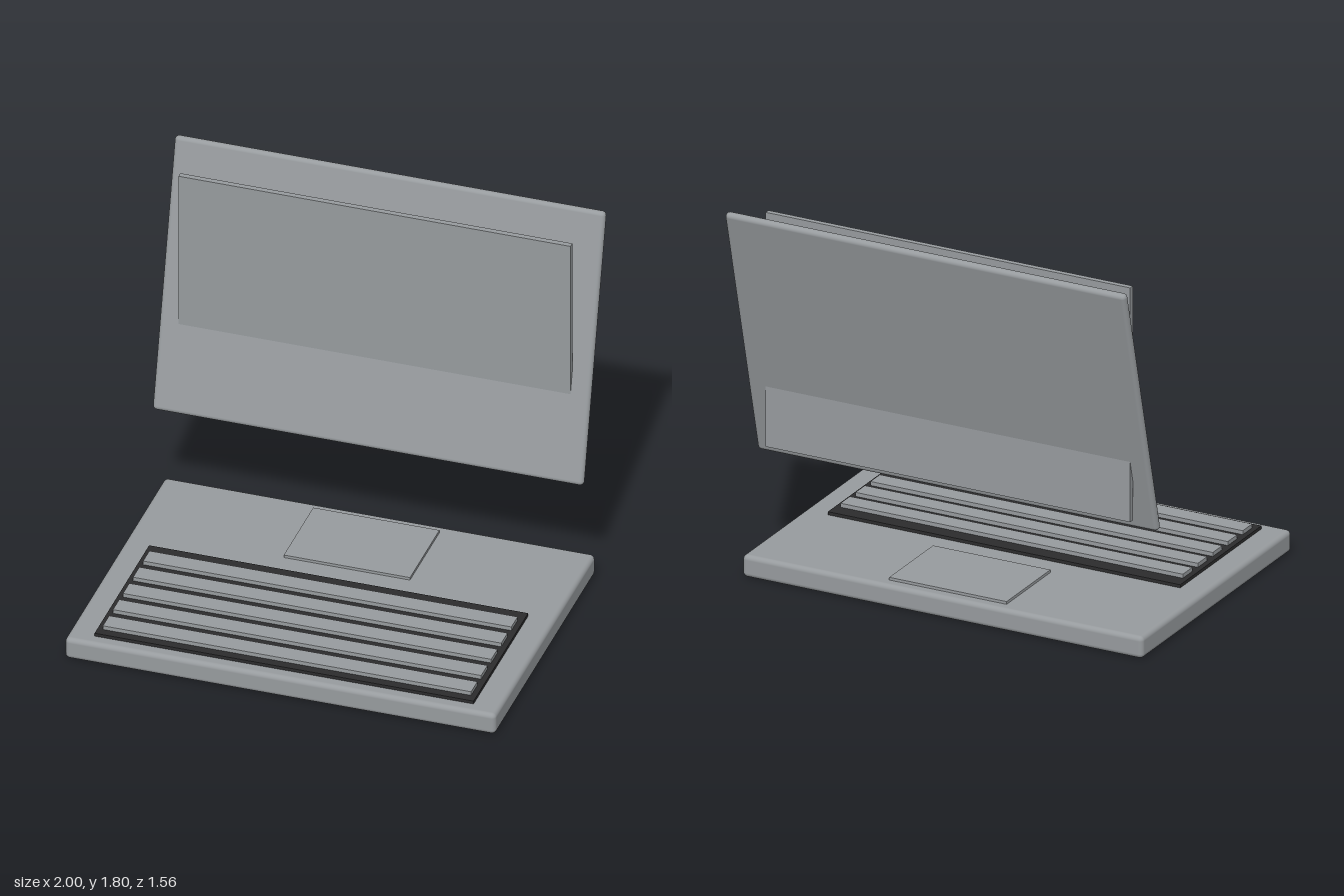
import * as THREE from 'three';
import { RoundedBoxGeometry } from 'three/addons/geometries/RoundedBoxGeometry.js';

export function createModel() {
  const group = new THREE.Group();
  group.name = 'laptop';

  const grey = new THREE.MeshStandardMaterial({ color: 0x979b9e });
  grey.name = 'metal grey';
  const black = new THREE.MeshStandardMaterial({ color: 0x2c2c2d });
  black.name = 'keyboard black';

  const add = (name, geometry, material, x, y, z) => {
    const mesh = new THREE.Mesh(geometry, material);
    mesh.name = name;
    mesh.position.set(x, y, z);
    group.add(mesh);
    return mesh;
  };

  // Base slab with softly rounded edges
  add('base', new RoundedBoxGeometry(2, 0.105, 1.4, 4, 0.022), grey, 0, 0.0525, 0.08);

  // Lid leaning back, floating above the rear of the base
  const lid = add('lid', new RoundedBoxGeometry(2, 1.28, 0.04, 4, 0.0195), grey, 0, 1.18, -0.613);
  lid.rotation.x = -0.247;

  // Upright screen panel that cuts through the lid
  add('screen', new THREE.BoxGeometry(1.82, 1.12, 0.026), grey, 0, 1.18, -0.552);

  // Keyboard bed and five rows of keys
  add('keyboardBed', new THREE.BoxGeometry(1.76, 0.03, 0.76), black, 0, 0.105, 0.34);
  for (let i = 0; i < 5; i++) {
    add('keyRow' + (i + 1), new THREE.BoxGeometry(1.71, 0.024, 0.088), grey, 0, 0.127, 0.075 + i * 0.14);
  }

  // Trackpad
  add('trackpad', new THREE.BoxGeometry(0.586, 0.02, 0.41), grey, 0, 0.108, -0.36);

  return group;
}
